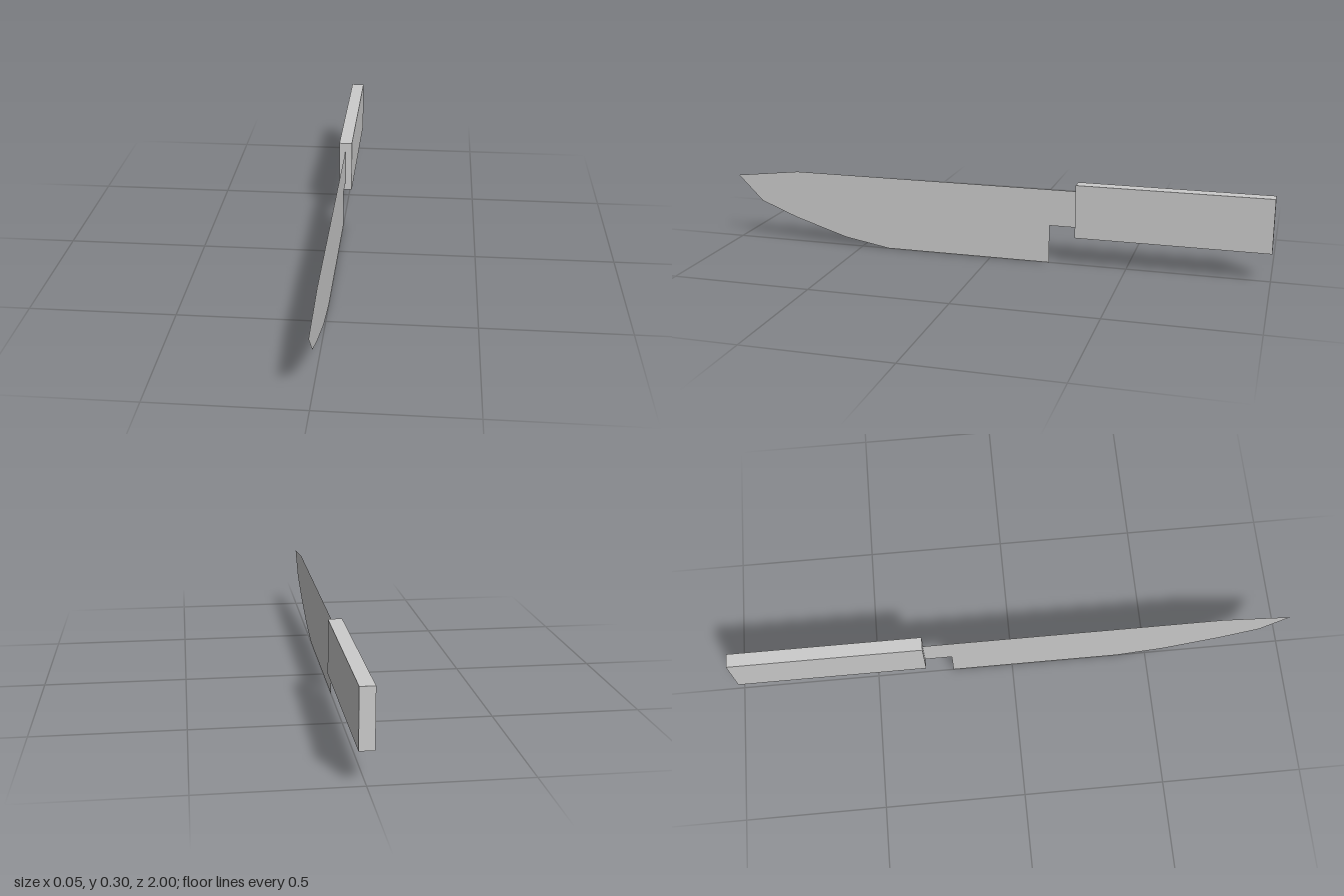
import * as THREE from 'three';

export function createModel() {
  const group = new THREE.Group();
  group.name = 'knife';

  // Handle: plain rectangular block at the back
  const handle = new THREE.Mesh(
    new THREE.BoxGeometry(0.048, 0.193, 0.683),
    new THREE.MeshStandardMaterial({ color: 0xcccccc, flatShading: true })
  );
  handle.name = 'handle';
  handle.position.set(0, 0.2035, -0.6585);
  group.add(handle);

  // Blade: paper-thin outline given as (z, y), with tang, heel, curved edge and tip
  const outline = [
    [-0.317, 0.139], [-0.22, 0.139], [-0.22, 0], [0.396, 0], [0.567, 0.03],
    [0.765, 0.092], [0.906, 0.148], [1, 0.243], [0.755, 0.272], [-0.317, 0.272],
  ].map(([z, y]) => new THREE.Vector2(z, y));
  const blade = new THREE.Mesh(
    new THREE.ShapeGeometry(new THREE.Shape(outline)).rotateY(-Math.PI / 2),
    new THREE.MeshStandardMaterial({ color: 0xcccccc, flatShading: true, side: THREE.DoubleSide })
  );
  blade.name = 'blade';
  group.add(blade);

  return group;
}
